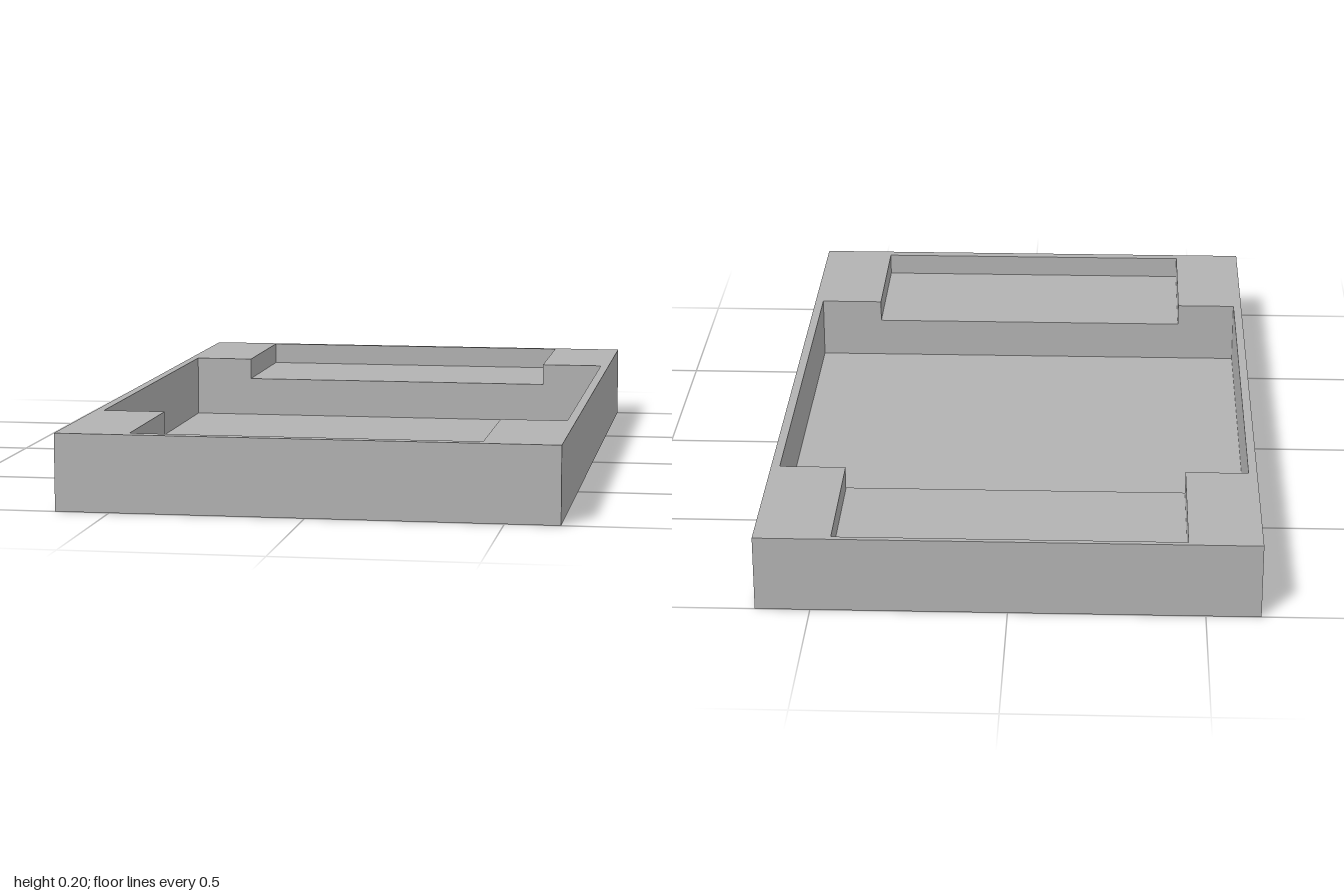
import * as THREE from 'three';

const HEIGHT = 0.2, SHELF = 0.14, FLOOR = 0.03;

// Corners of a rectangle seen from above, counter-clockwise, as [x, z]
const rect = (x0, x1, z0, z1) => [[x0, z1], [x1, z1], [x1, z0], [x0, z0]];

// Flat horizontal panel at height y, facing up, or down if flipped
function panel(points, y, hole, flip = false) {
  const toVec = ([x, z]) => new THREE.Vector2(x, -z);
  const shape = new THREE.Shape(points.map(toVec));
  if (hole) shape.holes.push(new THREE.Path(hole.map(toVec)));
  const geometry = new THREE.ShapeGeometry(shape);
  if (flip) geometry.scale(1, -1, 1).rotateX(Math.PI / 2);
  else geometry.rotateX(-Math.PI / 2);
  if (flip) {
    // Restore the winding after mirroring
    geometry.index.array.reverse();
    geometry.scale(1, 1, -1);
    geometry.index.array.reverse();
    geometry.computeVertexNormals();
  }
  return geometry.translate(0, y, 0);
}

// Upright walls along a closed outline, facing outward, or inward if reversed
function walls(points, y0, y1, inward = false) {
  const loop = inward ? [...points].reverse() : points;
  const position = [];
  loop.forEach(([px, pz], i) => {
    const [qx, qz] = loop[(i + 1) % loop.length];
    position.push(px, y0, pz, qx, y0, qz, qx, y1, qz);
    position.push(px, y0, pz, qx, y1, qz, px, y1, pz);
  });
  const geometry = new THREE.BufferGeometry();
  geometry.setAttribute('position', new THREE.Float32BufferAttribute(position, 3));
  geometry.computeVertexNormals();
  return geometry;
}

export function createModel() {
  const group = new THREE.Group();
  group.name = 'recessedTray';
  const grey = new THREE.MeshStandardMaterial({ color: 0xb2b2b2, side: THREE.DoubleSide });
  grey.name = 'grey';
  const add = (name, geometry) => {
    const mesh = new THREE.Mesh(geometry, grey);
    mesh.name = name;
    group.add(mesh);
  };

  // Outlines: block, deep pocket, and the pocket joined with both shelves
  const px = 0.617, pz = 0.58, sl = -0.452, sr = 0.443, back = -0.985, front = 0.97;
  const block = rect(-0.64, 0.64, -1, 1);
  const pocket = rect(-px, px, -pz, pz);
  const opening = [
    [sl, front], [sr, front], [sr, pz], [px, pz], [px, -pz], [sr, -pz],
    [sr, back], [sl, back], [sl, -pz], [-px, -pz], [-px, pz], [sl, pz],
  ];

  // Outer block
  add('outerWalls', walls(block, 0, HEIGHT));
  add('rim', panel(block, HEIGHT, opening));
  add('underside', new THREE.PlaneGeometry(1.28, 2).rotateX(Math.PI / 2));

  // Recesses
  add('openingWalls', walls(opening, SHELF, HEIGHT, true));
  add('frontShelf', panel(rect(sl, sr, pz, front), SHELF));
  add('backShelf', panel(rect(sl, sr, back, -pz), SHELF));
  add('pocketWalls', walls(pocket, FLOOR, SHELF, true));
  add('pocketFloor', panel(pocket, FLOOR));
  return group;
}
